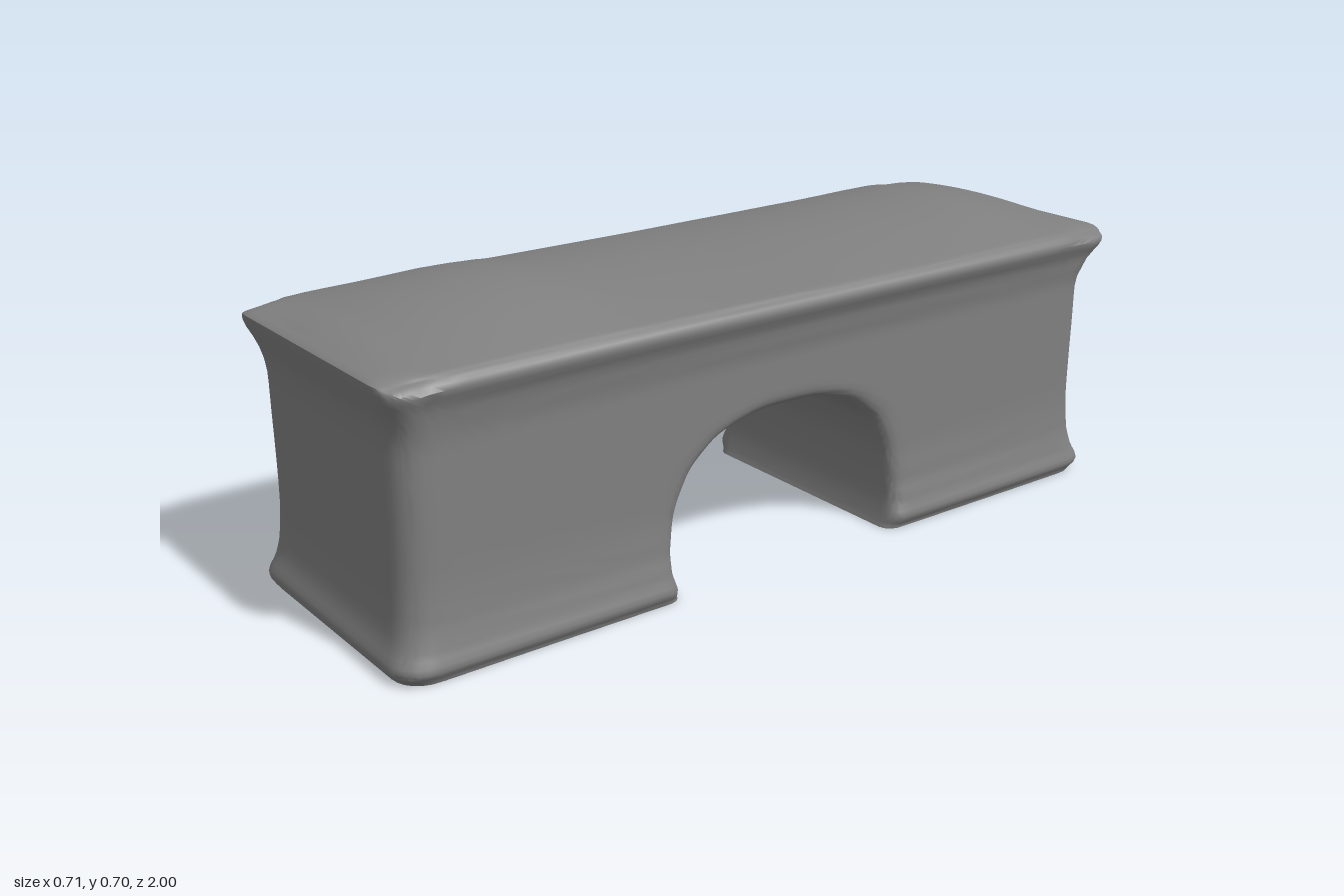
import * as THREE from 'three';
import { mergeVertices, toCreasedNormals } from 'three/addons/utils/BufferGeometryUtils.js';

const { clamp, smoothstep, lerp } = THREE.MathUtils;

// Half of the side profile from foot to crown: [outer z, outer y, arch z, arch y]
const HALF = [
  [0.98, 0, 0.31, 0], [0.995, 0.03, 0.317, 0.02], [0.975, 0.09, 0.327, 0.07],
  [0.966, 0.2, 0.325, 0.12], [0.966, 0.4, 0.318, 0.17], [0.97, 0.53, 0.308, 0.21],
  [0.998, 0.615, 0.29, 0.25], [0.985, 0.636, 0.27, 0.285], [0.85, 0.638, 0.24, 0.315],
  [0.6, 0.638, 0.19, 0.35], [0.3, 0.638, 0.1, 0.376], [0, 0.638, 0, 0.38],
];
// Half width by height, flared at foot and rim
const WIDTH = [[0, 0.33], [0.03, 0.345], [0.07, 0.334], [0.12, 0.325], [0.2, 0.32],
  [0.5, 0.322], [0.56, 0.332], [0.615, 0.354], [0.64, 0.34]];
// Height of the cushioned top along z
const SWELL = [[-1, 0], [-0.9, 0.03], [-0.72, 0.058], [-0.5, 0.046], [-0.25, 0.036],
  [0, 0.027], [0.36, 0.034], [0.5, 0.058], [0.6, 0.06], [0.75, 0.046], [0.9, 0.022], [1, 0]];

function lookup(table, v) {
  let i = 1;
  while (i < table.length - 1 && v > table[i][0]) i++;
  const [a, b] = [table[i - 1], table[i]];
  return lerp(a[1], b[1], smoothstep(v, a[0], b[0]));
}

// The back leg sits slightly further in than the front one, below the rim
function profileCurve(k) {
  const back = HALF.map((p) => {
    const inset = 0.018 * (1 - smoothstep(p[k + 1], 0.52, 0.61));
    return new THREE.Vector3(0, p[k + 1], inset - p[k]);
  });
  const front = HALF.slice(0, -1).reverse().map((p) => new THREE.Vector3(0, p[k + 1], p[k]));
  return new THREE.CatmullRomCurve3([...back, ...front], false, 'catmullrom', 0.5);
}

// A box grid bent around the arch: x across, y from arch to outside, z from back foot to front foot
function bridgeGeometry() {
  const outer = profileCurve(0), inner = profileCurve(2);
  const geo = new THREE.BoxGeometry(2, 1, 1, 28, 22, 4 * (2 * HALF.length - 2));
  const pos = geo.attributes.position;
  for (let i = 0; i < pos.count; i++) {
    // cluster the grid towards its edges
    const a = Math.sin(pos.getX(i) * Math.PI / 2);
    const t = (1 + Math.sin(pos.getY(i) * Math.PI)) / 2;
    const u = clamp(pos.getZ(i) + 0.5, 0, 1);
    const O = outer.getPoint(u), I = inner.getPoint(u);
    const length = O.distanceTo(I);
    const w = lookup(WIDTH, lerp(I.y, O.y, t));

    // round the long edges; upright end corners are rounder
    const r = t < 0.5 ? 0.035 : 0.015 + 0.055 * smoothstep(Math.abs(O.z), 0.86, 0.96);
    const x = a * w, d = t * length;
    const cx = clamp(x, r - w, w - r), cd = clamp(d, r, length - r);
    const dx = x - cx, dd = d - cd;
    const h = Math.hypot(dx, dd);
    const s = h > 0 ? Math.max(Math.abs(dx), Math.abs(dd)) / h : 1;
    const p = I.lerp(O, (cd + dd * s) / length);

    // swell the top face
    if (t > 0.999 && O.y > 0.63) p.y += lookup(SWELL, p.z) * (1 - a * a) * (1 - 0.3 * a);
    // the left side narrows a little towards the front
    const taper = a > 0 ? 1 - 0.03 * smoothstep(p.z, -0.8, 0.8) : 1;
    pos.setXYZ(i, (cx + dx * s) * taper, Math.max(0, p.y), p.z);
  }
  geo.deleteAttribute('uv');
  geo.deleteAttribute('normal');
  return toCreasedNormals(mergeVertices(geo, 1e-5), 0.9);
}

export function createModel() {
  const group = new THREE.Group();
  group.name = 'archBlock';
  const bridge = new THREE.Mesh(bridgeGeometry(), new THREE.MeshStandardMaterial({ color: 0x808080 }));
  bridge.name = 'bridgeBody';
  group.add(bridge);
  return group;
}
